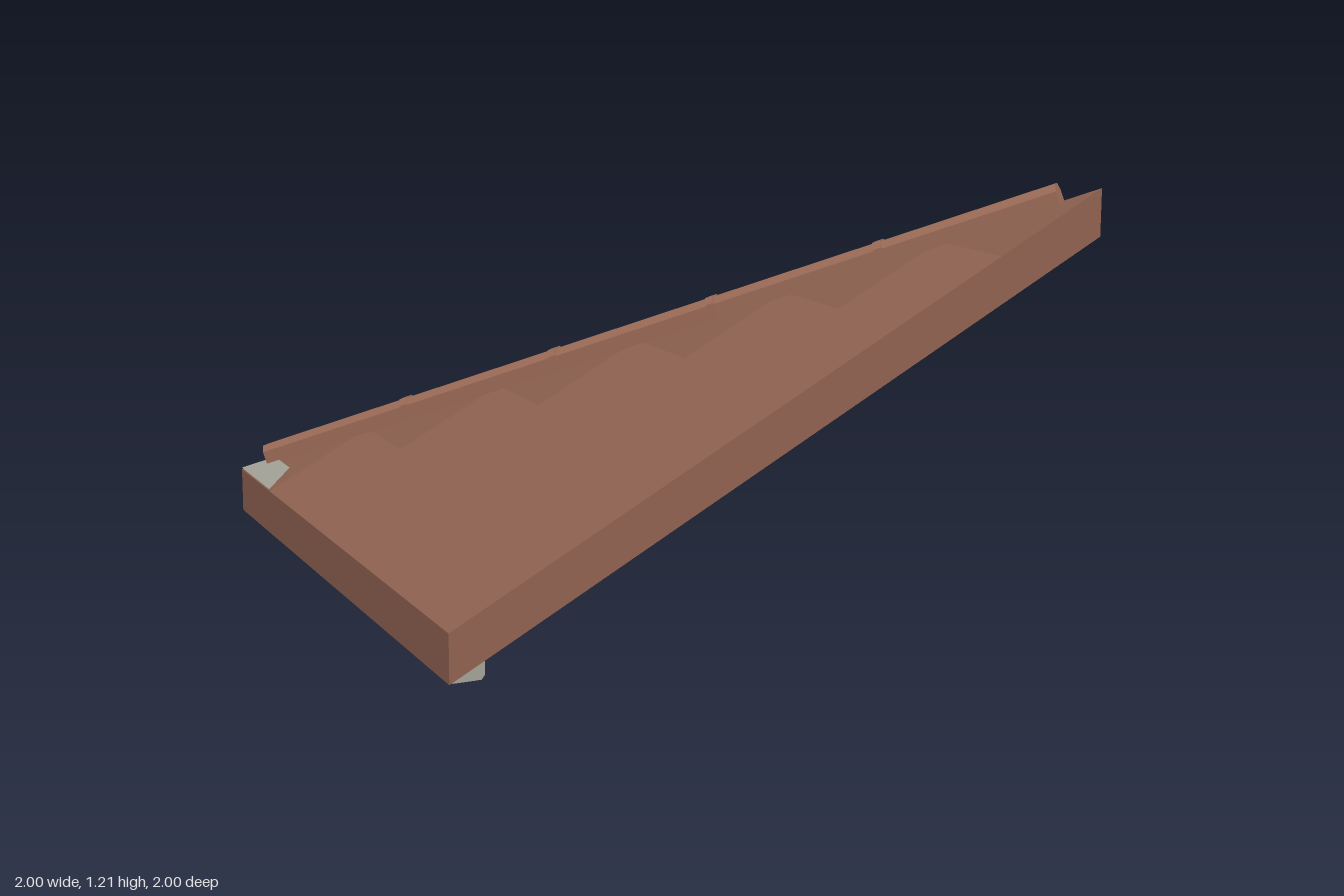
import * as THREE from 'three';

const SLOPE = 0.53, THICK = 0.14, TILES = 6;
const underside = (x, z) => SLOPE * (Math.min(x, z) + 1);
const below = (x, z) => new THREE.Vector3(x, underside(x, z), z);
const above = (x, z, lift = 0) => new THREE.Vector3(x, underside(x, z) + THICK + lift, z);

// Quads [a, b, c, d], split along a-c, one shading normal per quad
function quadGeometry(quads) {
  const pos = [], nor = [];
  for (const [a, b, c, d] of quads) {
    const n = c.clone().sub(a).cross(d.clone().sub(b)).normalize();
    for (const p of [a, b, c, a, c, d]) {
      pos.push(p.x, p.y, p.z);
      nor.push(n.x, n.y, n.z);
    }
  }
  const g = new THREE.BufferGeometry();
  g.setAttribute('position', new THREE.Float32BufferAttribute(pos, 3));
  g.setAttribute('normal', new THREE.Float32BufferAttribute(nor, 3));
  return g;
}

export function createModel() {
  const model = new THREE.Group();
  const tile = new THREE.MeshStandardMaterial({ color: 0x8f6250 });
  const capTile = new THREE.MeshStandardMaterial({ color: 0x9c6b57 });
  const trim = new THREE.MeshStandardMaterial({ color: 0xa3a298 });
  const sheet = new THREE.MeshStandardMaterial({ color: 0xa3a298, side: THREE.DoubleSide });
  const add = (name, geometry, material, parent = model) => {
    const mesh = new THREE.Mesh(geometry, material);
    mesh.name = name;
    parent.add(mesh);
    return mesh;
  };

  // Roof slab: two slopes meeting along the diagonal hip
  const quads = [];
  const at = i => -1 + 2 * i / TILES;
  for (let i = 0; i < TILES; i++) {
    for (let j = 0; j < TILES; j++) {
      const x0 = at(i), x1 = at(i + 1), z0 = at(j), z1 = at(j + 1);
      quads.push([above(x0, z0), above(x0, z1), above(x1, z1), above(x1, z0)]);
      quads.push([below(x0, z0), below(x1, z0), below(x1, z1), below(x0, z1)]);
    }
  }
  const corners = [[-1, 1], [1, 1], [1, -1], [-1, -1]];
  corners.forEach((p, i) => {
    const q = corners[(i + 1) % 4];
    quads.push([below(...p), below(...q), above(...q), above(...p)]);
  });
  add('roofSlab', quadGeometry(quads), tile);

  // Eave beams under the two low edges
  const profile = new THREE.Shape([
    [-0.998, 0.015], [-0.99, 0.002], [-0.91, 0.002], [-0.9, 0.015], [-0.9, 0.1], [-0.998, 0.1],
  ].map(p => new THREE.Vector2(...p)));
  const beam = new THREE.ExtrudeGeometry(profile, { depth: 1.997, bevelEnabled: false });
  beam.translate(0, 0, -0.998);
  add('rightEaveBeam', beam, trim);
  const backBeam = beam.clone().scale(1, 1, -1).rotateY(-Math.PI / 2);
  // restore the winding after mirroring
  const p = backBeam.attributes.position, n = backBeam.attributes.normal;
  for (const attr of [p, n]) {
    for (let i = 0; i < attr.count; i += 3) {
      const b = [attr.getX(i + 1), attr.getY(i + 1), attr.getZ(i + 1)];
      attr.setXYZ(i + 1, attr.getX(i + 2), attr.getY(i + 2), attr.getZ(i + 2));
      attr.setXYZ(i + 2, ...b);
    }
  }
  add('backEaveBeam', backBeam, trim);

  // Corner flashing, one strip on each slope
  const strip = [[-1, -1], [-0.91, -0.91], [-0.74, -0.91], [-0.67, -1]];
  add('backFlashing', quadGeometry([strip.map(([x, z]) => above(x, z, 0.006))]), sheet);
  add('rightFlashing', quadGeometry([strip.map(([x, z]) => above(z, x, 0.006)).reverse()]), sheet);

  // Hip caps: chamfered tiles with a collar at each joint
  const capSection = (w, top) => new THREE.Shape([
    [-w, -0.04], [w, -0.04], [w, top - 0.02], [w - 0.015, top], [-w + 0.015, top], [-w, top - 0.02],
  ].map(q => new THREE.Vector2(...q)));
  const hip = new THREE.Group();
  hip.name = 'hipCaps';
  const start = above(-0.92, -0.92);
  hip.position.copy(start);
  hip.lookAt(above(0.92, 0.92));
  model.add(hip);
  const length = start.distanceTo(above(0.92, 0.92)), count = 5, step = length / count;
  for (let i = 0; i < count; i++) {
    const cap = new THREE.ExtrudeGeometry(capSection(0.034, 0.054), { depth: step, bevelEnabled: false });
    add('hipCap', cap, capTile, hip).position.z = i * step;
    if (i > 0) {
      const collar = new THREE.ExtrudeGeometry(capSection(0.037, 0.058), { depth: 0.025, bevelEnabled: false });
      add('hipCapCollar', collar, capTile, hip).position.z = i * step - 0.0125;
    }
  }
  return model;
}
